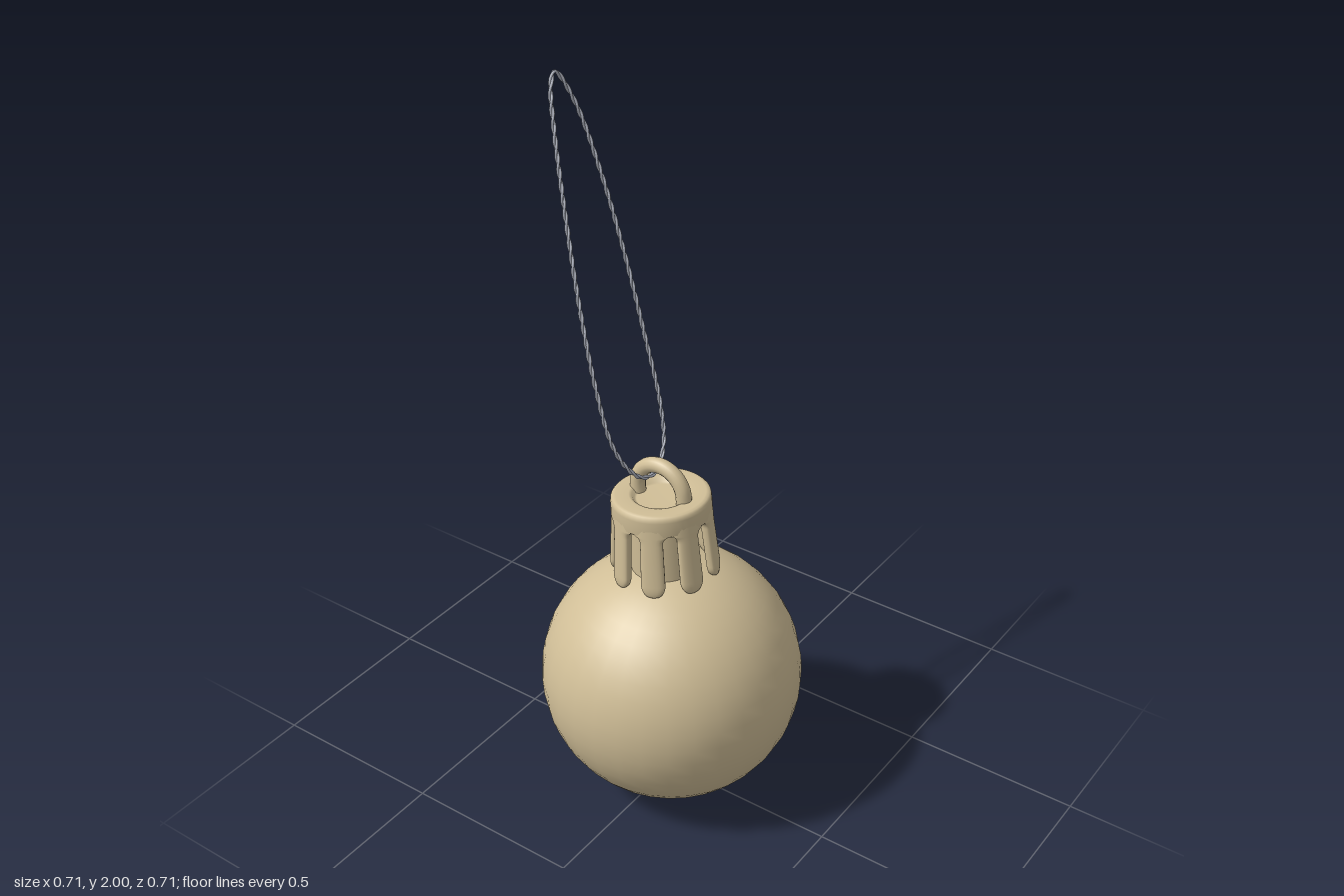
import * as THREE from 'three';
import { ParametricGeometry } from 'three/addons/geometries/ParametricGeometry.js';

const BALL_R = 0.356;
const PRONGS = 8;

function named(name, geometry, material) {
  const mesh = new THREE.Mesh(geometry, material);
  mesh.name = name;
  return mesh;
}

// Closed helix wound around a closed loop lying in one plane
class StrandCurve extends THREE.Curve {
  constructor(loop, normal, phase, turns, offset) {
    super();
    Object.assign(this, { loop, normal, phase, turns, offset });
  }
  getPoint(t, target = new THREE.Vector3()) {
    const side = this.loop.getTangentAt(t % 1).cross(this.normal).normalize();
    const a = this.phase + t * this.turns * Math.PI * 2;
    return target.copy(this.loop.getPointAt(t % 1))
      .addScaledVector(this.normal, Math.cos(a) * this.offset)
      .addScaledVector(side, Math.sin(a) * this.offset);
  }
}

// One puffy cap prong: merged with its neighbours at the top, rounded at the tip
function prongGeometry() {
  const top = 0.525, tip = 0.325;
  return new ParametricGeometry((u, v, p) => {
    const s = u * Math.PI * 2;
    const e = THREE.MathUtils.clamp((v - 0.1) / 0.11, 0, 1);
    const flare = 1 - Math.sqrt(1 - (1 - e) ** 2);
    const round = v > 0.82 ? Math.sqrt(Math.max(0, 1 - ((v - 0.82) / 0.18) ** 2)) : 1;
    const halfAngle = (0.24 + 0.155 * flare) * round;
    const c = Math.cos(s), n = Math.sin(s);
    const angle = halfAngle * Math.sign(c) * Math.abs(c) ** 0.7;
    const r = 0.118 + 0.017 * v + 0.015 * (0.3 + 0.7 * round) * Math.sign(n) * Math.abs(n) ** 0.6;
    p.set(r * Math.sin(angle), top + (tip - top) * v, r * Math.cos(angle));
  }, 24, 32);
}

export function createModel() {
  const model = new THREE.Group();
  model.name = 'ornament';
  const beige = new THREE.MeshStandardMaterial({ color: 0xd0be97 });
  beige.name = 'beige';
  const grey = new THREE.MeshStandardMaterial({ color: 0xabafbb });
  grey.name = 'cordGrey';

  // Ball
  const ball = named('ball', new THREE.SphereGeometry(BALL_R, 32, 24), beige);
  ball.position.y = BALL_R;
  model.add(ball);

  // Cap, leaning slightly back about the ball centre
  const cap = new THREE.Group();
  cap.name = 'cap';
  cap.position.y = BALL_R;
  cap.rotation.x = -0.062;
  model.add(cap);

  const profile = [
    [0, 0.505], [0.112, 0.505], [0.129, 0.506], [0.133, 0.51], [0.1325, 0.55],
    [0.131, 0.559], [0.126, 0.564], [0.118, 0.566], [0.084, 0.565],
    [0.076, 0.562], [0.07, 0.553], [0.064, 0.55], [0, 0.55],
  ].map(([x, y]) => new THREE.Vector2(x, y));
  cap.add(named('capTop', new THREE.LatheGeometry(profile, 48), beige));

  const neck = named('neck', new THREE.CylinderGeometry(0.09, 0.09, 0.21, 32, 1, true), beige);
  neck.position.y = 0.41;
  cap.add(neck);

  const prong = prongGeometry();
  for (let i = 0; i < PRONGS; i++) {
    const mesh = named('prong', prong, beige);
    mesh.rotation.y = (i + 0.5) * Math.PI * 2 / PRONGS;
    cap.add(mesh);
  }

  // Hanging ring, a half hoop with legs sunk into the cap
  const R = 0.073, base = 0.572;
  const points = [new THREE.Vector3(0, 0.53, R)];
  for (let i = 0; i <= 10; i++) {
    const a = i / 10 * Math.PI;
    points.push(new THREE.Vector3(0, base + R * Math.sin(a), R * Math.cos(a)));
  }
  points.push(new THREE.Vector3(0, 0.53, -R));
  const ringPath = new THREE.CatmullRomCurve3(points);
  cap.add(named('hangingRing', new THREE.TubeGeometry(ringPath, 40, 0.021, 14), beige));

  // Twisted cord loop in a plane leaning backwards
  const slope = -0.265;
  const outline = [
    [0, 1.994], [0.045, 1.91], [0.079, 1.72], [0.095, 1.51], [0.099, 1.3], [0.098, 1.12],
    [0.075, 1.015], [0.025, 0.963], [-0.03, 0.968], [-0.08, 1.015], [-0.117, 1.1],
    [-0.125, 1.24], [-0.112, 1.45], [-0.082, 1.68], [-0.048, 1.88], [-0.024, 1.97],
  ].map(([x, y]) => new THREE.Vector3(x, y, -0.066 + (y - 0.965) * slope));
  const loop = new THREE.CatmullRomCurve3(outline, true);
  loop.arcLengthDivisions = 400;
  const normal = new THREE.Vector3(0, -slope, 1).normalize();
  const cord = new THREE.Group();
  cord.name = 'cord';
  for (const phase of [0, Math.PI]) {
    const strand = new StrandCurve(loop, normal, phase, 32, 0.003);
    strand.arcLengthDivisions = 1200;
    cord.add(named('cordStrand', new THREE.TubeGeometry(strand, 576, 0.0036, 10, true), grey));
  }
  model.add(cord);
  return model;
}
